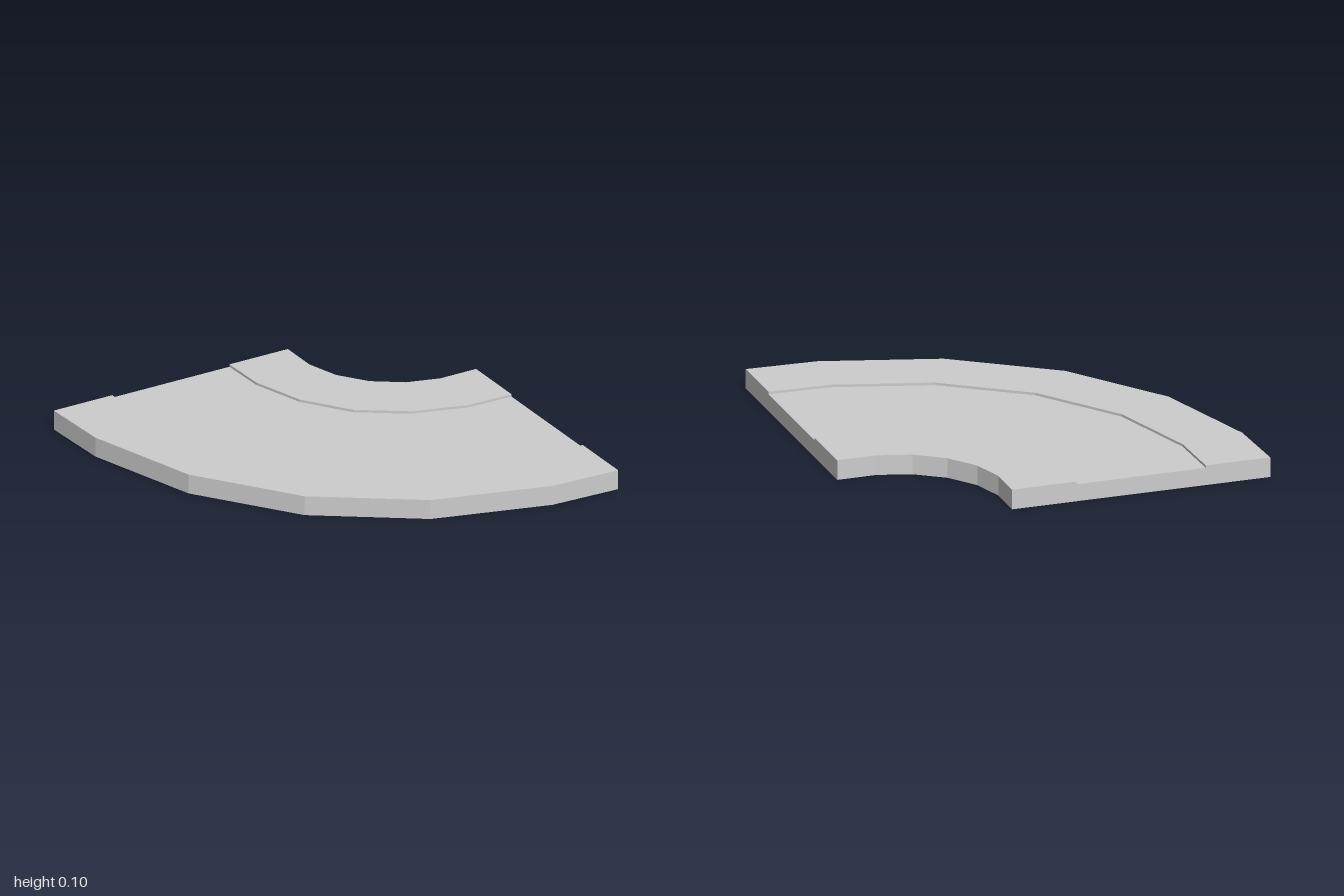
import * as THREE from 'three';

// Each bend line is given as [x, z] up to the diagonal, then mirrored across it
const mirrorBend = (half) => [
  ...half,
  ...half.slice(0, -1).reverse().map(([x, z]) => [-z, -x]),
];

const innerEdge = mirrorBend([[0.333, -1], [0.333, -0.797], [0.382, -0.63], [0.485, -0.485]]);
const innerKerb = mirrorBend([[0, -1], [0.006, -0.757], [0.087, -0.485], [0.25, -0.25]]);
const outerKerb = mirrorBend([[-0.667, -1], [-0.659, -0.687], [-0.517, -0.196], [-0.22, 0.22]]);
const outerEdge = mirrorBend([[-1, -1], [-0.985, -0.635], [-0.813, -0.045], [-0.457, 0.457]]);

const KERB_HEIGHT = 0.102;
const ROAD_HEIGHT = 0.089;

// Solid strip between two bend lines, standing on the ground
function strip(name, lineA, lineB, height, material) {
  const outline = [...lineA, ...[...lineB].reverse()].map(([x, z]) => new THREE.Vector2(x, -z));
  const geometry = new THREE.ExtrudeGeometry(new THREE.Shape(outline), {
    depth: height,
    bevelEnabled: false,
  });
  geometry.rotateX(-Math.PI / 2);
  const mesh = new THREE.Mesh(geometry, material);
  mesh.name = name;
  return mesh;
}

export function createModel() {
  const concrete = new THREE.MeshStandardMaterial({ color: 0xcccccc });
  concrete.name = 'light grey concrete';

  const group = new THREE.Group();
  group.name = 'curvedRoad';
  group.add(
    strip('innerPavement', innerEdge, innerKerb, KERB_HEIGHT, concrete),
    strip('roadway', innerKerb, outerKerb, ROAD_HEIGHT, concrete),
    strip('outerPavement', outerKerb, outerEdge, KERB_HEIGHT, concrete),
  );
  return group;
}
